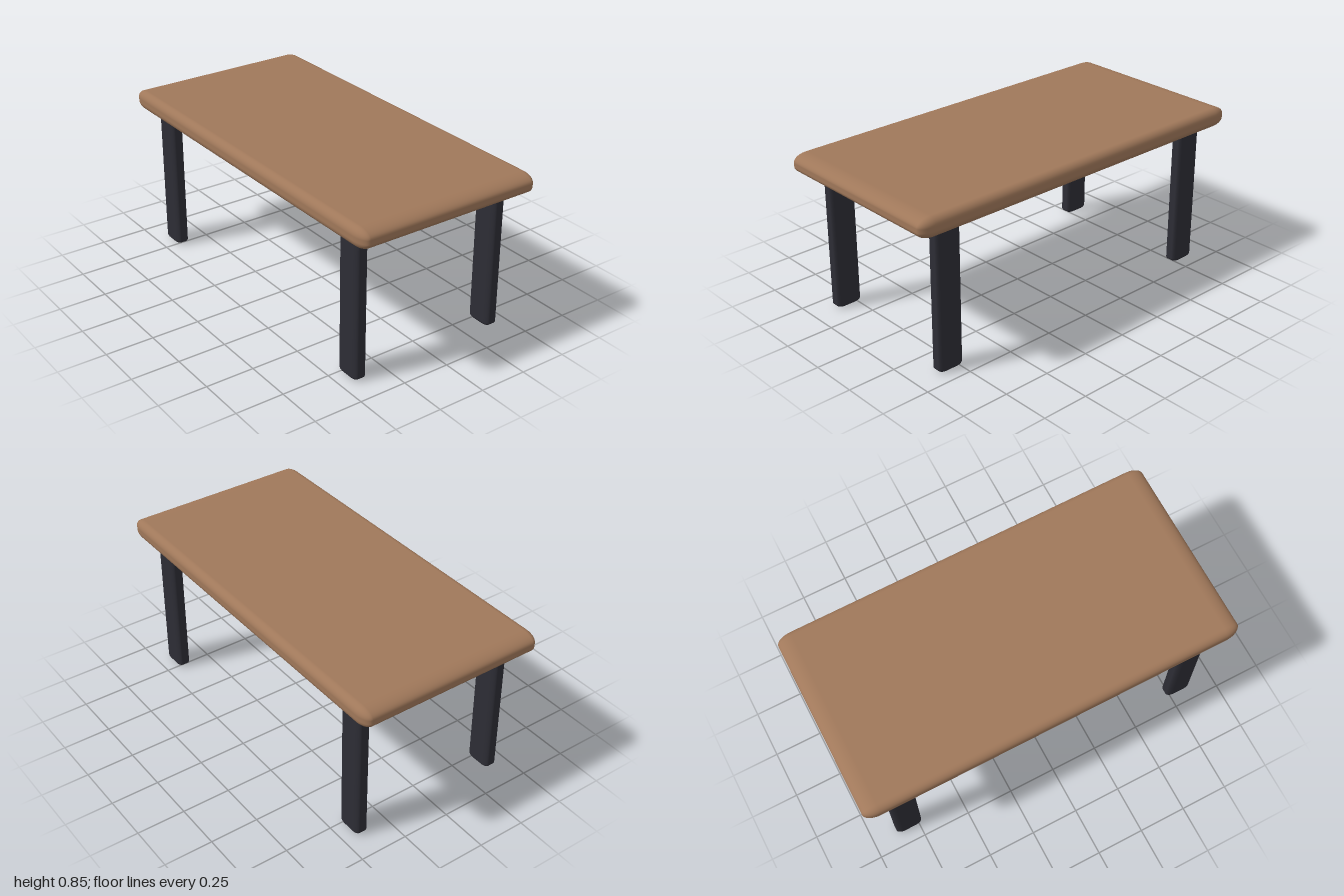
import * as THREE from 'three';
import { RoundedBoxGeometry } from 'three/addons/geometries/RoundedBoxGeometry.js';

const STRETCH = 2; // the rounding is twice as wide along x as along y and z

// Rounded box stretched along x, spanning bottom..top in y
function roundedPart(name, width, bottom, top, depth, radius, material) {
  const geometry = new RoundedBoxGeometry(width / STRETCH, top - bottom, depth, 6, radius);
  geometry.scale(STRETCH, 1, 1);
  const mesh = new THREE.Mesh(geometry, material);
  mesh.name = name;
  mesh.position.y = (bottom + top) / 2;
  return mesh;
}

export function createModel() {
  const wood = new THREE.MeshStandardMaterial({ color: 0xa0785a });
  wood.name = 'warm wood';
  const dark = new THREE.MeshStandardMaterial({ color: 0x2d2d35 });
  dark.name = 'dark metal';

  const table = new THREE.Group();
  table.name = 'table';

  // Tabletop
  table.add(roundedPart('tabletop', 2, 0.745, 0.845, 1, 0.04, wood));

  // Four legs, their tops sunk into the tabletop
  for (const [side, x] of [['Left', 0.8], ['Right', -0.8]]) {
    for (const [end, z] of [['front', 0.4], ['back', -0.4]]) {
      const leg = roundedPart(`${end}${side}Leg`, 0.14, 0, 0.77, 0.07, 0.02, dark);
      leg.position.x = x;
      leg.position.z = z;
      table.add(leg);
    }
  }
  return table;
}
